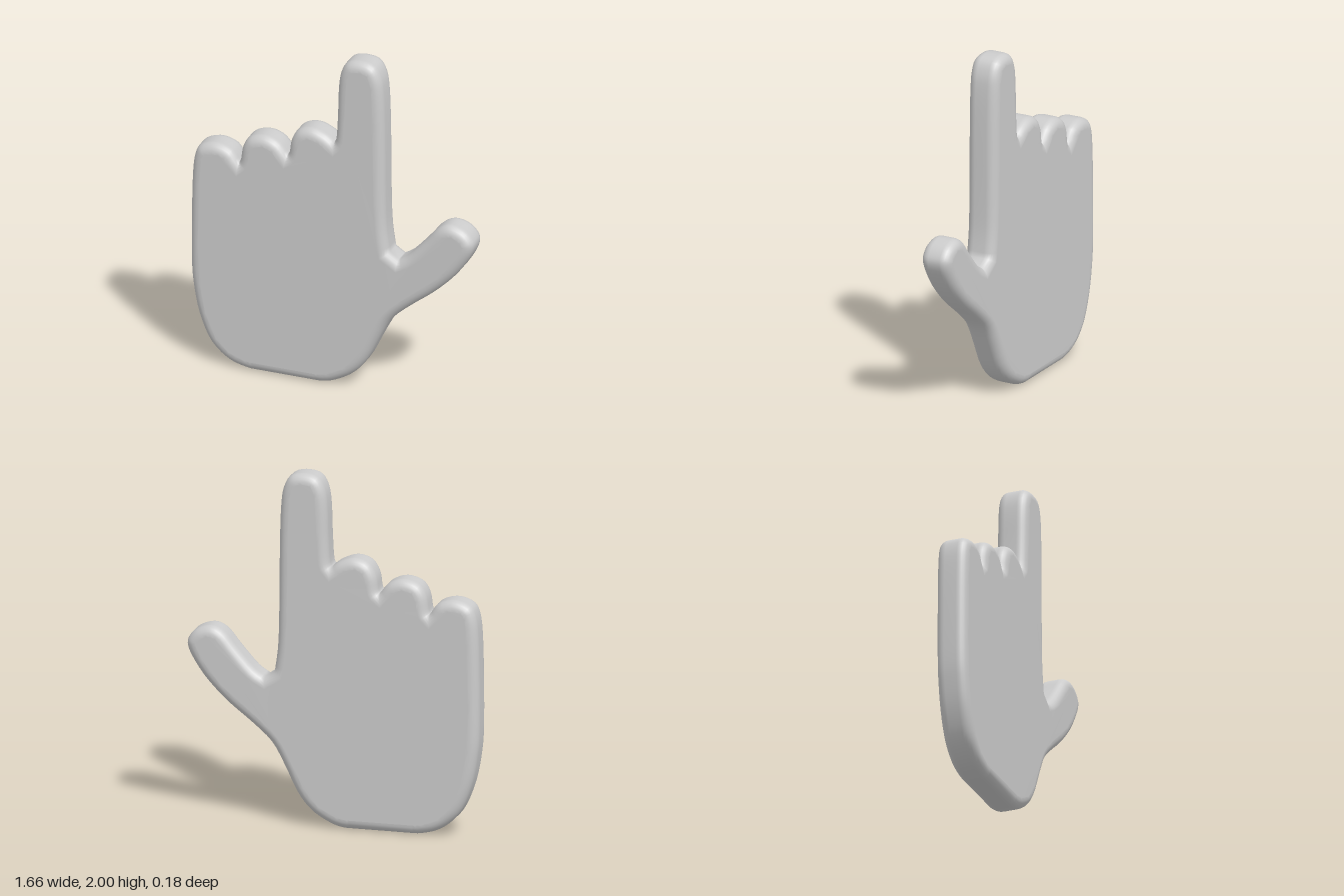
import * as THREE from 'three';
import { mergeVertices } from 'three/addons/utils/BufferGeometryUtils.js';

const THICKNESS = 0.18, ROUND = 0.055;

// Each run is a smooth curve; runs meet at the sharp notches between digits.
const wristToThumb = [[-0.05, 0.003], [0.02, 0.025], [0.12, 0.085], [0.2, 0.18], [0.28, 0.34], [0.35, 0.46], [0.46, 0.56],
  [0.6, 0.67], [0.72, 0.79], [0.8, 0.905], [0.83, 0.98], [0.817, 1.03], [0.77, 1.075], [0.69, 1.095], [0.62, 1.063],
  [0.55, 0.98], [0.45, 0.87], [0.385, 0.827]];
const indexFinger = [[0.335, 0.86], [0.316, 1], [0.309, 1.2], [0.305, 1.6], [0.297, 1.82], [0.28, 1.92], [0.24, 1.983],
  [0.165, 2], [0.09, 1.983], [0.05, 1.92], [0.034, 1.82], [0.028, 1.65], [0.02, 1.51], [0.008, 1.48]];
const middleFinger = [[-0.04, 1.515], [-0.12, 1.54], [-0.2, 1.517], [-0.243, 1.45], [-0.256, 1.37], [-0.267, 1.353]];
const ringFinger = [[-0.32, 1.415], [-0.4, 1.442], [-0.485, 1.42], [-0.528, 1.36], [-0.543, 1.275], [-0.552, 1.255]];
const littleFingerToWrist = [[-0.6, 1.32], [-0.69, 1.345], [-0.775, 1.32], [-0.81, 1.265], [-0.826, 1.15], [-0.833, 0.9],
  [-0.833, 0.6], [-0.82, 0.45], [-0.79, 0.3], [-0.735, 0.16], [-0.67, 0.08], [-0.59, 0.027], [-0.5, 0.003], [-0.46, 0]];

function handOutline() {
  const shape = new THREE.Shape();
  const curveThrough = (points) => shape.splineThru(points.map(([x, y]) => new THREE.Vector2(x, y)));
  shape.moveTo(-0.46, 0);
  shape.lineTo(-0.1, 0);
  curveThrough(wristToThumb);
  shape.lineTo(...indexFinger[0]); // web between thumb and index finger
  curveThrough(indexFinger.slice(1));
  curveThrough(middleFinger);
  curveThrough(ringFinger);
  curveThrough(littleFingerToWrist);
  return shape;
}

export function createModel() {
  const group = new THREE.Group();
  group.name = 'pointingHand';

  // Flat hand with a rounded rim, inset so the outline is the widest section
  const depth = THICKNESS - 2 * ROUND;
  let geometry = new THREE.ExtrudeGeometry(handOutline(), {
    depth, curveSegments: 3, bevelEnabled: true,
    bevelThickness: ROUND, bevelSize: ROUND, bevelOffset: -ROUND, bevelSegments: 6,
  });
  geometry.translate(0, 0, -depth / 2);

  // Weld the corners for smooth shading all round
  geometry.deleteAttribute('normal');
  geometry.deleteAttribute('uv');
  geometry = mergeVertices(geometry, 1e-4);
  geometry.computeVertexNormals();

  const hand = new THREE.Mesh(geometry, new THREE.MeshStandardMaterial({ color: 0xcccccc }));
  hand.name = 'hand';
  group.add(hand);
  return group;
}
